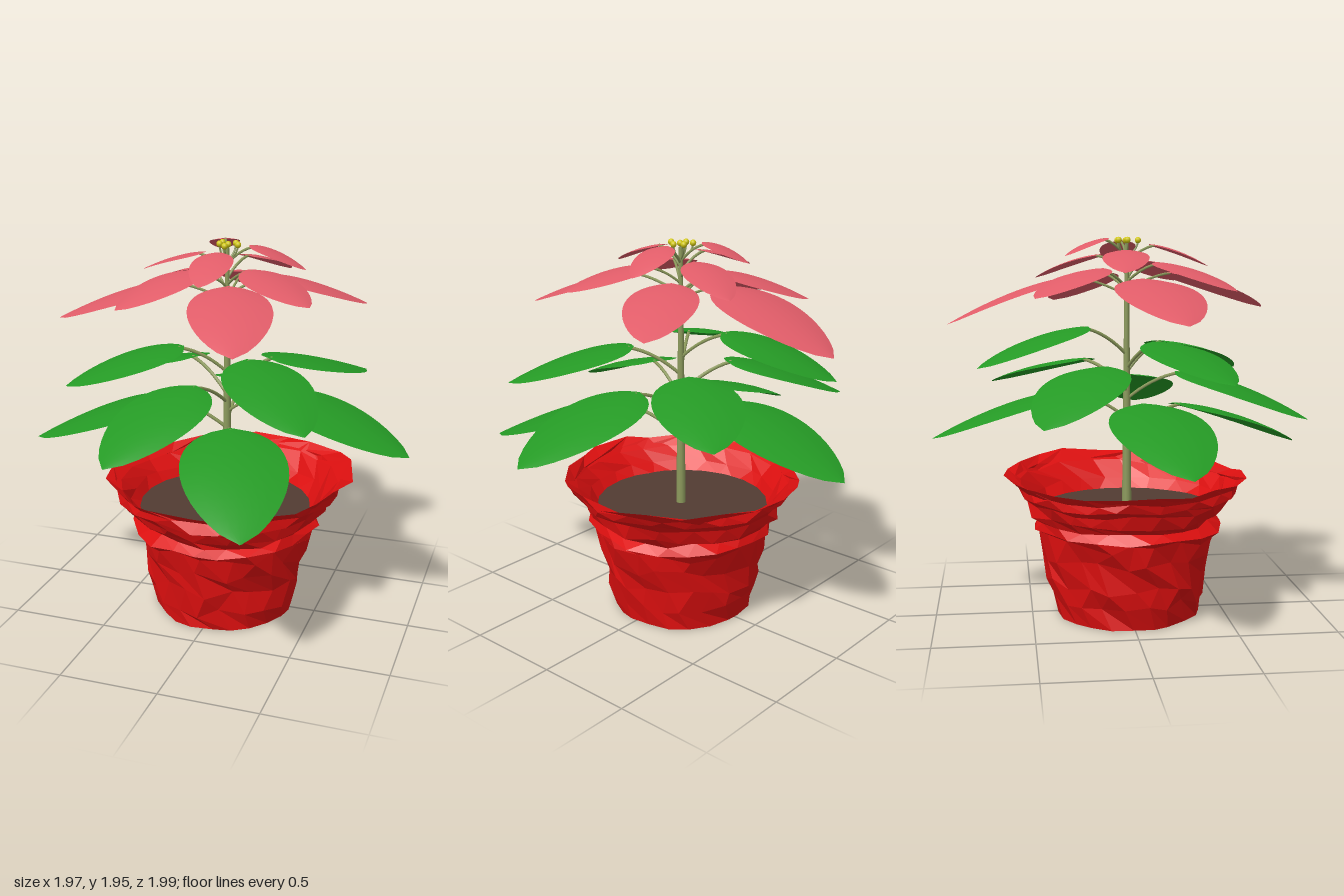
import * as THREE from 'three';

const material = (name, color, extra = {}) => {
  const m = new THREE.MeshStandardMaterial({ color, ...extra });
  m.name = name;
  return m;
};

// repeatable noise in -1..1 for a pair of indices
const noise = (a, b) => {
  const s = Math.sin(a * 127.1 + b * 311.7 + 4.3) * 43758.5453;
  return (s - Math.floor(s)) * 2 - 1;
};

// tip x, tip z, height of blade base, height of tip
const LEAVES = [
  [0.01, -1.0, 1.17, 0.93], [0.59, -0.69, 1.32, 1.16], [0.98, 0.16, 1.22, 0.99],
  [0.59, 0.66, 1.41, 1.22], [0.40, 0.99, 1.08, 0.82], [-0.29, 0.88, 1.27, 1.04],
  [-0.69, 0.42, 1.43, 1.26], [-0.99, 0.18, 1.13, 0.88], [-0.77, -0.46, 1.31, 1.08],
  [-0.26, -0.76, 1.50, 1.31],
];
const BRACTS = [
  [0.01, -0.91, 1.75, 1.51], [0.65, -0.34, 1.77, 1.61], [0.51, 0.32, 1.83, 1.72],
  [0.29, 0.77, 1.77, 1.58], [-0.38, 0.49, 1.82, 1.68], [-0.83, 0.18, 1.74, 1.54],
  [-0.41, -0.48, 1.79, 1.65], [0.20, -0.46, 1.86, 1.74], [0.40, -0.04, 1.93, 1.82],
  [0.01, 0.42, 1.91, 1.80], [-0.46, -0.06, 1.88, 1.77], [-0.12, -0.32, 1.94, 1.85],
];

// pointed oval blade running along +z from z0, drooping towards its tip
function bladeGeometry(z0, length, width, drop) {
  const geo = new THREE.PlaneGeometry(2, 1, 6, 16).rotateX(-Math.PI / 2);
  const p = geo.attributes.position;
  for (let i = 0; i < p.count; i++) {
    const v = p.getX(i);
    const u = (p.getZ(i) + 0.5) ** 1.3;
    const half = Math.max(0.002, (width / 2) * Math.sqrt(u) * Math.max(0, 1 - u) ** 0.75 / 0.431);
    p.setXYZ(i, v * half, -drop * u ** 1.6 - 0.12 * half * v * v, z0 + u * length);
  }
  geo.computeVertexNormals();
  return geo;
}

export function createModel() {
  const group = new THREE.Group();
  const red = material('redWrap', 0xdc0f0f, { flatShading: true, side: THREE.DoubleSide });
  const brown = material('soilBrown', 0x523c32);
  const olive = material('stemOlive', 0x8c9a5c);
  const green = material('leafGreen', 0x259a25, { side: THREE.DoubleSide });
  const pink = material('bractPink', 0xe05c68, { side: THREE.DoubleSide });
  const yellow = material('budYellow', 0xd2c814);
  const add = (name, geo, mat, parent = group) => {
    const mesh = new THREE.Mesh(geo, mat);
    mesh.name = name;
    parent.add(mesh);
    return mesh;
  };

  // crumpled foil pot wrap: outside, flared rim, then inside down to the soil
  const profile = [[0, 0], [0.37, 0], [0.39, 0.1], [0.41, 0.21], [0.43, 0.33], [0.455, 0.44],
    [0.485, 0.47], [0.455, 0.51], [0.51, 0.55], [0.52, 0.61], [0.565, 0.64], [0.565, 0.68],
    [0.61, 0.72], [0.55, 0.67], [0.49, 0.6], [0.44, 0.54]];
  const segments = 22;
  const wrap = new THREE.LatheGeometry(profile.map(([r, y]) => new THREE.Vector2(r, y)), segments);
  const pos = wrap.attributes.position;
  for (let i = 0; i < pos.count; i++) {
    const row = i % profile.length;
    const col = Math.floor(i / profile.length) % segments;
    if (row === 0) continue;
    const [r0, y0] = profile[row];
    const inside = row > 12;
    const angle = (col / segments) * Math.PI * 2 + (row % 2) * 0.1 + noise(col, row) * 0.06;
    const flare = Math.max(0, (y0 - 0.5) / 0.22);
    const corner = Math.max(0, Math.cos(angle - 2.1)) ** 2;
    const crumple = row === 1 ? 0.01 : inside ? 0.008 : 0.02;
    const r = r0 + noise(col + 31, row) * crumple + flare * 0.05 * corner;
    const y = row === 1 ? 0
      : y0 + noise(col, row + 57) * (row < 6 ? 0.03 : 0.013) + flare * 0.035 * corner;
    pos.setXYZ(i, Math.sin(angle) * r, y, Math.cos(angle) * r);
  }
  wrap.computeVertexNormals();
  add('potWrap', wrap, red);

  // soil disc
  add('soil', new THREE.CylinderGeometry(0.45, 0.45, 0.02, 22), brown).position.y = 0.55;

  // main stem
  const cx = 0.01;
  add('stem', new THREE.CylinderGeometry(0.01, 0.025, 1.36, 10), olive).position.set(cx, 1.23, 0);

  // one blade with its curved stalk
  const addLeaf = (name, [x, z, baseY, tipY], mat, stalkRadius, stalkDrop) => {
    const leaf = new THREE.Group();
    leaf.name = name;
    const dx = x - cx;
    const reach = Math.hypot(dx, z);
    const start = Math.max(0.11, reach * 0.27);
    const length = reach - start;
    add('blade', bladeGeometry(start, length, length * 0.66, baseY - tipY), mat, leaf);
    const stalk = new THREE.QuadraticBezierCurve3(
      new THREE.Vector3(0, -stalkDrop, 0),
      new THREE.Vector3(0, -stalkDrop * 0.2, start * 0.55),
      new THREE.Vector3(0, -0.006, start + 0.03));
    add('stalk', new THREE.TubeGeometry(stalk, 8, stalkRadius, 6), olive, leaf);
    leaf.position.set(cx, baseY, 0);
    leaf.rotation.y = Math.atan2(dx, z);
    group.add(leaf);
  };
  LEAVES.forEach((d) => addLeaf('leaf', d, green, 0.009, 0.15));
  BRACTS.forEach((d) => addLeaf('bract', d, pink, 0.007, 0.1));

  // cluster of small buds on thin stalks
  const buds = [[-0.03, -0.045], [0.04, -0.045], [-0.03, 0], [0.015, 0], [0.065, 0], [0.015, 0.058]];
  for (const [x, z] of buds) {
    const top = new THREE.Vector3(x, 1.93, z);
    const path = new THREE.QuadraticBezierCurve3(
      new THREE.Vector3(cx, 1.85, 0), new THREE.Vector3(x, 1.88, z), top);
    add('budStalk', new THREE.TubeGeometry(path, 5, 0.005, 5), olive);
    add('bud', new THREE.SphereGeometry(0.016, 10, 8), yellow).position.copy(top);
  }

  return group;
}
